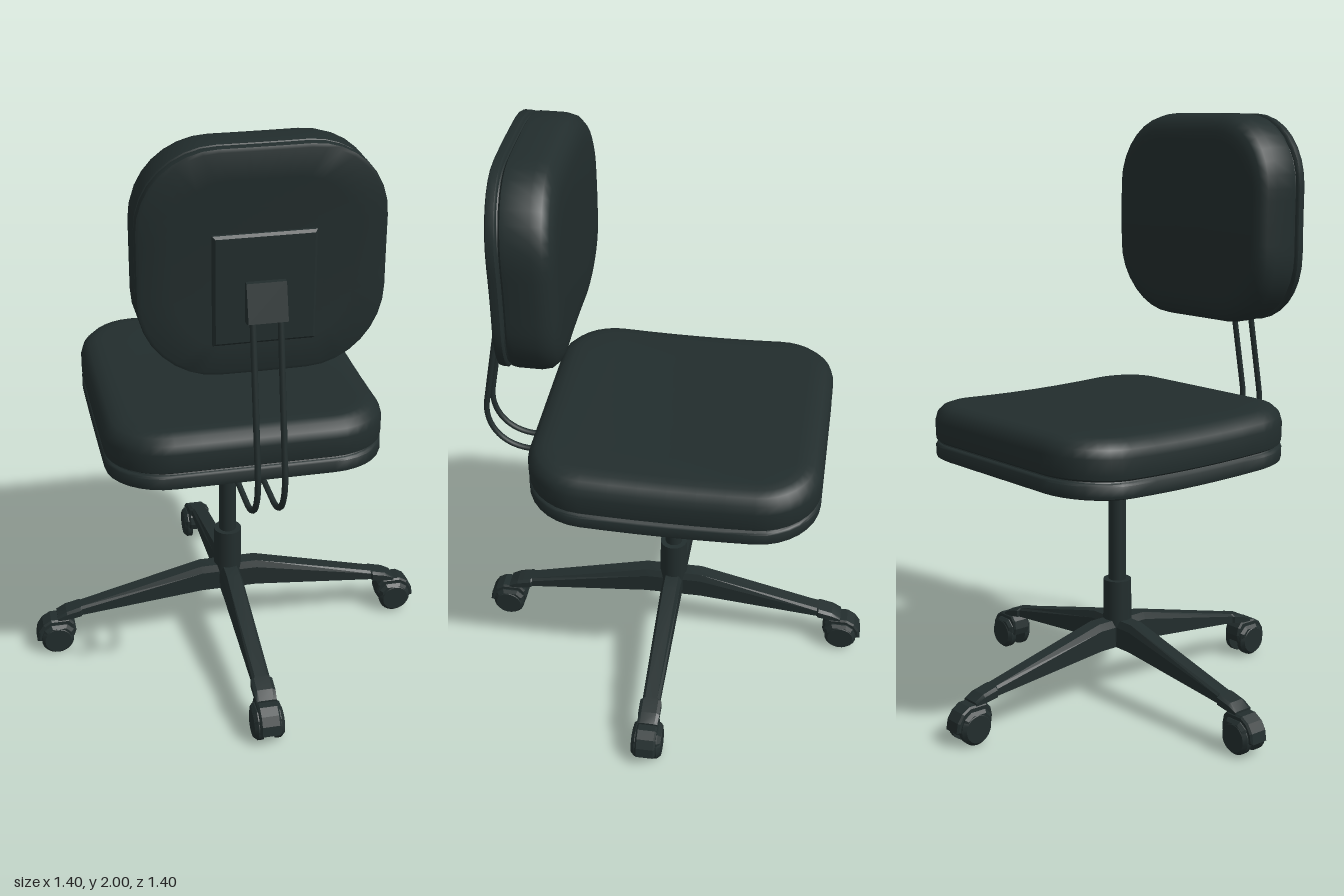
import * as THREE from 'three';
import { toCreasedNormals } from 'three/addons/utils/BufferGeometryUtils.js';

const charcoal = new THREE.MeshStandardMaterial({ color: 0x222d2d });
charcoal.name = 'charcoal';

function add(parent, name, geometry, x = 0, y = 0, z = 0) {
  const mesh = new THREE.Mesh(geometry, charcoal);
  mesh.name = name;
  mesh.position.set(x, y, z);
  parent.add(mesh);
  return mesh;
}

// Outline of a rounded rectangle, running from +x towards +z
function outline(hw, hd, r) {
  const points = [];
  const corners = [[1, 1], [-1, 1], [-1, -1], [1, -1]];
  corners.forEach(([sx, sz], k) => {
    for (let i = 0; i <= 8; i++) {
      const a = (k + i / 8) * Math.PI / 2;
      points.push([sx * (hw - r) + r * Math.cos(a), sz * (hd - r) + r * Math.sin(a)]);
    }
    // Extra points on the straight side let it bend
    const [nx, nz] = corners[(k + 1) % 4];
    const a = (k + 1) * Math.PI / 2;
    const [px, pz] = points[points.length - 1];
    const qx = nx * (hw - r) + r * Math.cos(a), qz = nz * (hd - r) + r * Math.sin(a);
    for (let i = 1; i < 6; i++) points.push([px + (qx - px) * i / 6, pz + (qz - pz) * i / 6]);
  });
  return points;
}

// Stacks rings into a closed skin
function skin(rings, crease) {
  const n = rings[0].length, index = [];
  for (let j = 0; j < rings.length - 1; j++) {
    for (let i = 0; i < n; i++) {
      const a = j * n + i, b = j * n + (i + 1) % n;
      index.push(a, a + n, b, b, a + n, b + n);
    }
  }
  const g = new THREE.BufferGeometry();
  g.setAttribute('position', new THREE.Float32BufferAttribute(rings.flat(2), 3));
  g.setIndex(index);
  return toCreasedNormals(g, crease);
}

// Pad: profile of [inset, height] from bottom to top, bent by a rule
function pad(hw, hd, r, profile, bend) {
  const ring = ([inset, y], s) => outline(hw - inset, hd - inset, r - inset)
    .map(([x, z]) => [x * s, y + bend(x * s / hw, z * s / hd), z * s]);
  const fill = [0, 0.25, 0.5, 0.75];
  return skin([
    ...fill.map(s => ring(profile[0], s)),
    ...profile.map(p => ring(p, 1)),
    ...fill.slice().reverse().map(s => ring(profile[profile.length - 1], s)),
  ], 0.7);
}

function extrude(points, depth, bevel = 0) {
  const shape = new THREE.Shape(points.map(p => new THREE.Vector2(...p)));
  const g = new THREE.ExtrudeGeometry(shape, {
    depth: depth - 2 * bevel, bevelEnabled: bevel > 0,
    bevelSize: bevel, bevelThickness: bevel, bevelOffset: -bevel, bevelSegments: 1,
  });
  return g.translate(0, 0, bevel - depth / 2);
}

function makeSeat() {
  const seat = new THREE.Group();
  seat.name = 'seat';
  const bend = (u, v) => 0.018 * v * v;
  add(seat, 'seatCushion', pad(0.458, 0.482, 0.2, [
    [0.015, 0.908], [0.002, 0.916], [0, 0.93], [0, 0.98], [0.008, 1.008],
    [0.028, 1.028], [0.055, 1.038], [0.085, 1.041]], bend), 0, 0, -0.04);
  add(seat, 'seatShell', pad(0.458, 0.482, 0.2, [
    [0.012, 0.852], [0.002, 0.857], [0, 0.864], [0, 0.896], [0.004, 0.902], [0.012, 0.905], [0.016, 0.912],
  ], bend), 0, 0, -0.04);
  add(seat, 'seatPlate', new THREE.BoxGeometry(0.62, 0.026, 0.58), 0, 0.849, 0);
  return seat;
}

function makeBackrest() {
  const back = new THREE.Group();
  back.name = 'backrest';
  const bend = (u, v) => 0.012 * u * u - 0.01 * v * v;
  const place = g => g.rotateX(-Math.PI / 2);
  add(back, 'backCushion', place(pad(0.373, 0.35, 0.24, [
    [0.014, -0.472], [0.002, -0.464], [0, -0.45], [0, -0.375], [0.008, -0.342],
    [0.028, -0.322], [0.055, -0.312], [0.085, -0.308]], bend)), 0, 1.65, 0);
  add(back, 'backShell', place(pad(0.373, 0.35, 0.24, [
    [0.012, -0.511], [0.002, -0.506], [0, -0.499], [0, -0.482], [0.004, -0.478], [0.012, -0.476], [0.016, -0.468],
  ], bend)), 0, 1.65, 0);
  add(back, 'backPlate', extrude(
    [[-0.155, -0.172], [0.155, -0.172], [0.155, 0.172], [-0.155, 0.172]], 0.026, 0.008), 0, 1.572, 0.515);
  // Wedge bracket that holds the rods
  const wedge = extrude([[0.52, 1.6], [0.545, 1.6], [0.577, 1.485], [0.55, 1.475], [0.52, 1.475]], 0.12);
  add(back, 'rodBracket', wedge.rotateY(-Math.PI / 2));
  // Pair of bent rods running under the seat
  for (const s of [-1, 1]) {
    const v = (y, z) => new THREE.Vector3(s * 0.042, y, z);
    const path = new THREE.CurvePath();
    path.add(new THREE.LineCurve3(v(1.52, 0.547), v(1.02, 0.637)));
    path.add(new THREE.CubicBezierCurve3(v(1.02, 0.637), v(0.92, 0.655), v(0.83, 0.6), v(0.827, 0.49)));
    path.add(new THREE.LineCurve3(v(0.827, 0.49), v(0.827, 0.15)));
    add(back, s > 0 ? 'leftRod' : 'rightRod', new THREE.TubeGeometry(path, 60, 0.01, 8));
    const end = add(back, 'rodEnd', new THREE.CircleGeometry(0.01, 8), s * 0.042, 0.827, 0.15);
    end.rotation.y = Math.PI;
  }
  return back;
}

// Tapered leg with a chamfered top and a wider tip, along +x
function makeLeg() {
  const sections = [ // x, bottom, top, half width
    [0, 0.19, 0.285, 0.034], [0.1, 0.19, 0.285, 0.034],
    [0.535, 0.144, 0.176, 0.03], [0.54, 0.143, 0.175, 0.037],
    [0.59, 0.135, 0.162, 0.037], [0.622, 0.132, 0.142, 0.034]];
  const rings = sections.map(([x, b, t, w]) => {
    const m = t - (t - b) * 0.25;
    return [[x, b, -w], [x, b, w], [x, m, w], [x, t, w * 0.7], [x, t, -w * 0.7], [x, m, -w]];
  });
  const close = ([x, b, t]) => Array(6).fill([x, (b + t) / 2, 0]);
  return skin([close(sections[0]), ...rings, close(sections[sections.length - 1])], 0.3);
}

function makeCaster() {
  const caster = new THREE.Group();
  caster.name = 'caster';
  // Curved hood over twin wheels
  add(caster, 'casterHood', extrude([
    [-0.06, 0.06], [-0.068, 0.085], [-0.062, 0.115], [-0.045, 0.135], [0.02, 0.135],
    [0.048, 0.118], [0.066, 0.09], [0.072, 0.055], [0.05, 0.05], [-0.03, 0.05]], 0.07, 0.006));
  for (const s of [-1, 1]) {
    const wheel = new THREE.LatheGeometry([[0, -0.015], [0.057, -0.015], [0.057, 0.003],
      [0.046, 0.015], [0, 0.015]].map(p => new THREE.Vector2(...p)), 28);
    const mesh = add(caster, 'wheel', toCreasedNormals(wheel, 0.5), 0, 0.06, s * 0.036);
    mesh.rotation.x = s * Math.PI / 2;
    // Wider cheek of the hood above each wheel
    add(caster, 'hoodCheek', extrude([[-0.058, 0.07], [-0.058, 0.095], [-0.035, 0.118],
      [0.02, 0.118], [0.045, 0.1], [0.054, 0.07]], 0.03, 0.01), 0, 0, s * 0.034);
  }
  return caster;
}

function makeBase() {
  const base = new THREE.Group();
  base.name = 'base';
  add(base, 'gasColumn', new THREE.CylinderGeometry(0.03, 0.03, 0.45, 24), 0, 0.62, 0);
  add(base, 'columnCap', new THREE.CylinderGeometry(0.055, 0.04, 0.02, 24), 0, 0.838, 0);
  add(base, 'columnSleeve', new THREE.CylinderGeometry(0.048, 0.05, 0.215, 24), 0, 0.3175, 0);
  for (let i = 0; i < 4; i++) {
    const arm = new THREE.Group();
    arm.name = 'legWithCaster';
    arm.rotation.y = i * Math.PI / 2;
    add(arm, 'leg', makeLeg());
    const caster = makeCaster();
    caster.position.x = 0.627;
    arm.add(caster);
    base.add(arm);
  }
  return base;
}

export function createModel() {
  const chair = new THREE.Group();
  chair.name = 'officeChair';
  chair.add(makeSeat(), makeBackrest(), makeBase());
  return chair;
}
